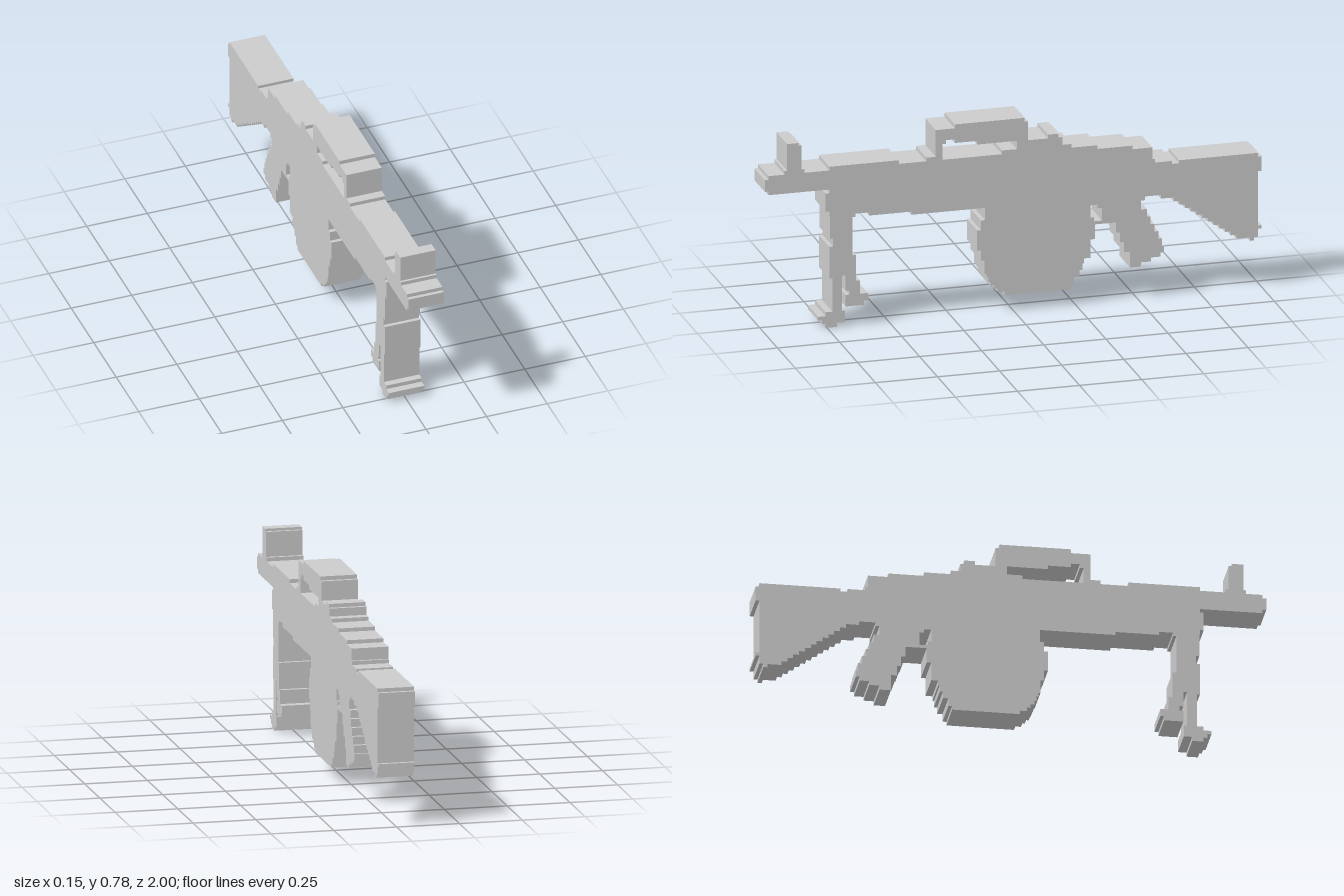
import * as THREE from 'three';

const WIDTH = 0.146; // thickness of the flat body
const STEP = 0.0157; // size of one stair step

// Turns sloping edges of a closed outline of [z, y] points into stairs.
function stepped(points) {
  const out = [];
  points.forEach(([z, y], i) => {
    const [z2, y2] = points[(i + 1) % points.length];
    const dz = z2 - z, dy = y2 - y;
    out.push(new THREE.Vector2(z, y));
    if (Math.abs(dz) < 1e-6 || Math.abs(dy) < 1e-6) return;
    const n = Math.max(1, Math.round(Math.min(Math.abs(dz), Math.abs(dy)) / STEP));
    for (let k = 0; k < n; k++) {
      const zk = z + dz * (k + 0.5) / n;
      out.push(new THREE.Vector2(zk, y + dy * k / n));
      out.push(new THREE.Vector2(zk, y + dy * (k + 1) / n));
    }
  });
  return out;
}

// Extrudes a side profile across x.
function slab(name, points, material) {
  const shape = new THREE.Shape(stepped(points));
  const geometry = new THREE.ExtrudeGeometry(shape, { depth: WIDTH, bevelEnabled: false });
  geometry.translate(0, 0, -WIDTH / 2).rotateY(-Math.PI / 2);
  const mesh = new THREE.Mesh(geometry, material);
  mesh.name = name;
  return mesh;
}

// Side profiles as [z, y]; neighbouring parts meet edge to edge.
const profiles = {
  barrelAndReceiver: [
    [1, 0.628], [0.985, 0.628], [0.985, 0.643], [0.74, 0.643], [0.74, 0.658], [0.46, 0.658],
    [0.46, 0.643], [-0.34, 0.643], [-0.34, 0.628], [-0.48, 0.628], [-0.48, 0.613],
    [-0.56, 0.613], [-0.56, 0.565], [-0.57, 0.565], [-0.57, 0.43], [0.41, 0.43],
    [0.41, 0.443], [0.58, 0.443], [0.58, 0.456], [0.74, 0.456], [0.74, 0.475],
    [0.755, 0.475], [0.755, 0.55], [0.74, 0.55], [0.74, 0.565], [0.985, 0.565],
    [0.985, 0.58], [1, 0.58],
  ],
  frontSight: [
    [0.92, 0.643], [0.92, 0.658], [0.91, 0.658], [0.91, 0.767], [0.865, 0.767],
    [0.865, 0.757], [0.853, 0.757], [0.853, 0.658], [0.84, 0.658], [0.84, 0.643],
  ],
  carryHandle: [
    [0.35, 0.643], [0.35, 0.658], [0.312, 0.658], [0.312, 0.767], [0.235, 0.767],
    [0.235, 0.783], [-0.045, 0.783], [-0.045, 0.767], [-0.06, 0.767], [-0.06, 0.69],
    [-0.14, 0.69], [-0.14, 0.705], [-0.183, 0.705], [-0.183, 0.69], [-0.198, 0.69],
    [-0.198, 0.658], [-0.235, 0.658], [-0.235, 0.643], [0.045, 0.643], [0.045, 0.658],
    [-0.015, 0.658], [-0.015, 0.692], [0.145, 0.692], [0.145, 0.707], [0.235, 0.707],
    [0.235, 0.722], [0.27, 0.722], [0.27, 0.707], [0.285, 0.707], [0.285, 0.658],
    [0.285, 0.643],
  ],
  magazine: [
    [0.113, 0.43], [0.113, 0.38], [0.13, 0.38], [0.13, 0.34], [0.145, 0.34], [0.145, 0.258],
    [0.13, 0.258], [0.13, 0.215], [0.115, 0.215], [0.115, 0.16], [0.1, 0.145],
    [0.1, 0.125], [0.055, 0.08], [0.035, 0.08], [0.035, 0.065], [-0.23, 0.065],
    [-0.23, 0.08], [-0.245, 0.08], [-0.245, 0.112], [-0.26, 0.112], [-0.285, 0.165],
    [-0.285, 0.185], [-0.312, 0.185], [-0.312, 0.26], [-0.33, 0.26], [-0.33, 0.32],
    [-0.312, 0.32], [-0.312, 0.43],
  ],
  gripAndTriggerGuard: [
    [-0.312, 0.43], [-0.312, 0.4], [-0.34, 0.4], [-0.34, 0.385], [-0.358, 0.385],
    [-0.358, 0.333], [-0.325, 0.333], [-0.325, 0.35], [-0.312, 0.35], [-0.312, 0.32],
    [-0.405, 0.32], [-0.455, 0.195], [-0.47, 0.195], [-0.47, 0.13], [-0.515, 0.13],
    [-0.515, 0.147], [-0.555, 0.147], [-0.555, 0.163], [-0.592, 0.163], [-0.592, 0.18],
    [-0.607, 0.18], [-0.607, 0.205], [-0.53, 0.363], [-0.515, 0.363], [-0.515, 0.4],
    [-0.53, 0.4], [-0.53, 0.415], [-0.57, 0.415], [-0.57, 0.43],
  ],
  stock: [
    [-0.57, 0.55], [-0.64, 0.55], [-0.64, 0.538], [-0.668, 0.538], [-0.668, 0.55],
    [-0.985, 0.55], [-0.985, 0.535], [-1, 0.535], [-1, 0.475], [-0.985, 0.475],
    [-0.985, 0.253], [-1, 0.253], [-1, 0.24], [-0.985, 0.24], [-0.985, 0.207],
    [-0.97, 0.207], [-0.97, 0.193], [-0.953, 0.193], [-0.953, 0.207], [-0.91, 0.207],
    [-0.635, 0.4], [-0.595, 0.4], [-0.595, 0.415], [-0.57, 0.415],
  ],
  bipod: [
    [0.738, 0.456], [0.738, 0.363], [0.725, 0.363], [0.725, 0.33], [0.74, 0.33],
    [0.74, 0.2], [0.728, 0.2], [0.728, 0.064], [0.755, 0.064], [0.755, 0.048], [0.785, 0.048],
    [0.785, 0.033], [0.77, 0.033], [0.77, 0.017], [0.755, 0.017], [0.755, 0],
    [0.71, 0], [0.71, 0.017], [0.677, 0.017], [0.677, 0.064], [0.69, 0.064],
    [0.69, 0.207], [0.675, 0.207], [0.675, 0.145], [0.66, 0.145], [0.66, 0.127],
    [0.675, 0.127], [0.675, 0.08], [0.6, 0.08], [0.6, 0.097], [0.585, 0.097],
    [0.585, 0.127], [0.617, 0.127], [0.617, 0.182], [0.633, 0.182], [0.633, 0.287],
    [0.648, 0.287], [0.648, 0.443], [0.635, 0.443], [0.635, 0.456],
  ],
};

export function createModel() {
  const group = new THREE.Group();
  group.name = 'model';
  const material = new THREE.MeshStandardMaterial({ color: 0xcccccc, flatShading: true });
  for (const [name, points] of Object.entries(profiles)) {
    group.add(slab(name, points, material));
  }
  return group;
}
